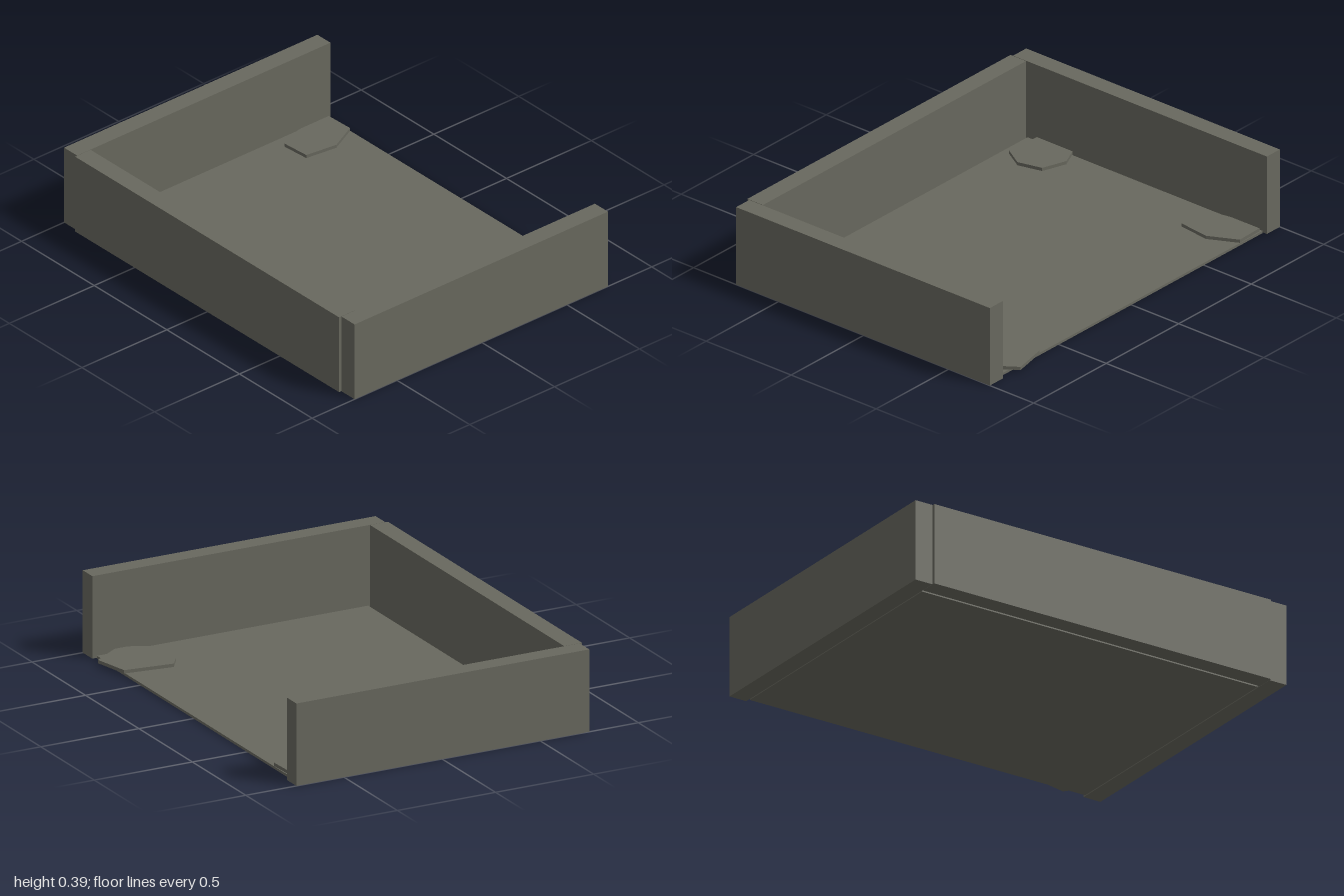
import * as THREE from 'three';

const slate = new THREE.MeshStandardMaterial({ color: 0x68685e });
slate.name = 'slate grey';

// Box given by its minimum and maximum corners
function block(name, [x0, y0, z0], [x1, y1, z1]) {
  const geometry = new THREE.BoxGeometry(x1 - x0, y1 - y0, z1 - z0);
  geometry.translate((x0 + x1) / 2, (y0 + y1) / 2, (z0 + z1) / 2);
  const mesh = new THREE.Mesh(geometry, slate);
  mesh.name = name;
  return mesh;
}

// Thin flat pad from an outline of [x, z] points
function pad(name, outline, y0, y1) {
  const shape = new THREE.Shape(outline.map(([x, z]) => new THREE.Vector2(x, -z)));
  const geometry = new THREE.ExtrudeGeometry(shape, { depth: y1 - y0, bevelEnabled: false });
  geometry.rotateX(-Math.PI / 2).translate(0, y0, 0);
  const mesh = new THREE.Mesh(geometry, slate);
  mesh.name = name;
  return mesh;
}

export function createModel() {
  const tray = new THREE.Group();
  tray.name = 'openTray';
  const height = 0.392;

  // Floor panel, with a narrow gap to the walls
  tray.add(block('floor', [-0.904, 0, -0.722], [0.904, 0.012, 0.66]));

  // Walls on three sides; the back is open
  tray.add(block('frontWall', [-0.908, 0, 0.672], [0.908, height, 0.763]));
  tray.add(block('leftWall', [0.91, 0, -0.742], [1, height, 0.75]));
  tray.add(block('rightWall', [-1, 0, -0.742], [-0.91, height, 0.75]));

  // Loose irregular pads lying on the floor
  tray.add(pad('backLeftPad', [
    [0.64, -0.727], [0.815, -0.765], [0.845, -0.722], [0.908, -0.63],
    [0.908, -0.56], [0.85, -0.45], [0.68, -0.44], [0.61, -0.49],
  ], 0.012, 0.028));
  tray.add(pad('backRightPad', [
    [-0.89, -0.715], [-0.75, -0.72], [-0.68, -0.58], [-0.7, -0.42],
    [-0.84, -0.41], [-0.87, -0.44], [-0.89, -0.55],
  ], 0.012, 0.028));
  tray.add(pad('frontRightPad', [
    [-0.909, 0.4], [-0.82, 0.36], [-0.7, 0.4], [-0.67, 0.52],
    [-0.73, 0.62], [-0.909, 0.61],
  ], 0.012, 0.028));

  return tray;
}
